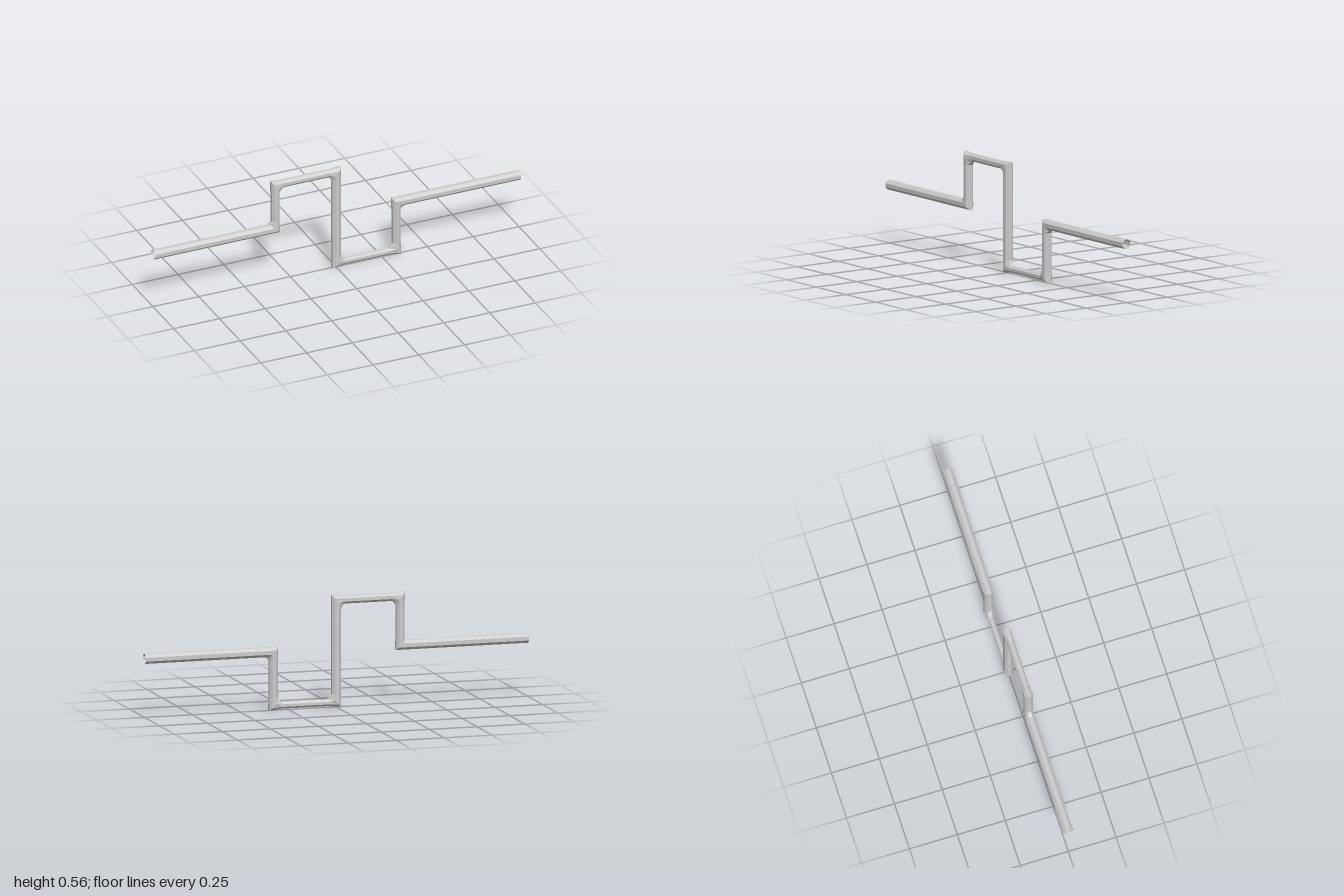
import * as THREE from 'three';

const SIDES = 8;
const JOINT = 0.0235;   // half thickness at the corners
const COLLAR = 0.042;   // distance from a corner to where the bar thins out
const FILLET = 1.3;     // pushes the inside of each bend out into a chamfer

// Centre line of the crank
const path = [
  [-1, 0.295], [-0.334, 0.295], [-0.334, 0.54], [0, 0.54],
  [0, 0.023], [0.328, 0.023], [0.328, 0.295], [1, 0.295],
].map(([x, y]) => new THREE.Vector2(x, y));

// Half thickness of each bar: in the plane of the crank, and in depth
const bars = [
  [0.0235, 0.0245], [0.021, 0.0225], [0.0195, 0.018], [0.0235, 0.0225],
  [0.0165, 0.0145], [0.0215, 0.0225], [0.0235, 0.0245],
];

// Octagonal cross-section with flats on its four main sides
function ring(centre, across, ru, rz, innerSide = 0) {
  const points = [];
  for (let i = 0; i < SIDES; i++) {
    const a = ((i + 0.5) / SIDES) * Math.PI * 2;
    const k = 1 / Math.cos(Math.PI / SIDES);
    let u = Math.cos(a) * k * ru;
    if (u * innerSide > 0) u *= FILLET;
    points.push(centre.x + across.x * u, centre.y + across.y * u, Math.sin(a) * k * rz);
  }
  return points;
}

// Skin a list of rings, leaving the two ends open
function skin(rings) {
  const index = [];
  for (let r = 0; r < rings.length - 1; r++) {
    for (let i = 0; i < SIDES; i++) {
      const a = r * SIDES + i;
      const b = r * SIDES + ((i + 1) % SIDES);
      index.push(a, b, b + SIDES, a, b + SIDES, a + SIDES);
    }
  }
  const geometry = new THREE.BufferGeometry();
  geometry.setAttribute('position', new THREE.Float32BufferAttribute(rings.flat(), 3));
  geometry.setIndex(index);
  const faceted = geometry.toNonIndexed();
  faceted.computeVertexNormals();
  return faceted;
}

export function createModel() {
  const rings = [];
  const last = bars.length - 1;
  const direction = (i) => path[i + 1].clone().sub(path[i]).normalize();
  const normal = (d) => new THREE.Vector2(-d.y, d.x);

  bars.forEach(([ru, rz], i) => {
    const d = direction(i);
    const n = normal(d);
    // Both ends of the straight bar, held clear of the bends
    const start = path[i].clone().addScaledVector(d, i === 0 ? 0 : COLLAR);
    const end = path[i + 1].clone().addScaledVector(d, i === last ? 0 : -COLLAR);
    rings.push(ring(start, n, ru, rz), ring(end, n, ru, rz));
    // Mitred bend into the next bar
    if (i < last) {
      const next = direction(i + 1);
      const mitre = n.clone().add(normal(next));
      rings.push(ring(path[i + 1], mitre, JOINT, JOINT, Math.sign(d.cross(next))));
    }
  });

  const material = new THREE.MeshStandardMaterial({
    color: 0xcccccc, flatShading: true, side: THREE.DoubleSide,
  });
  const crank = new THREE.Mesh(skin(rings), material);
  crank.name = 'crankRod';
  const group = new THREE.Group();
  group.name = 'crank';
  group.add(crank);
  return group;
}
